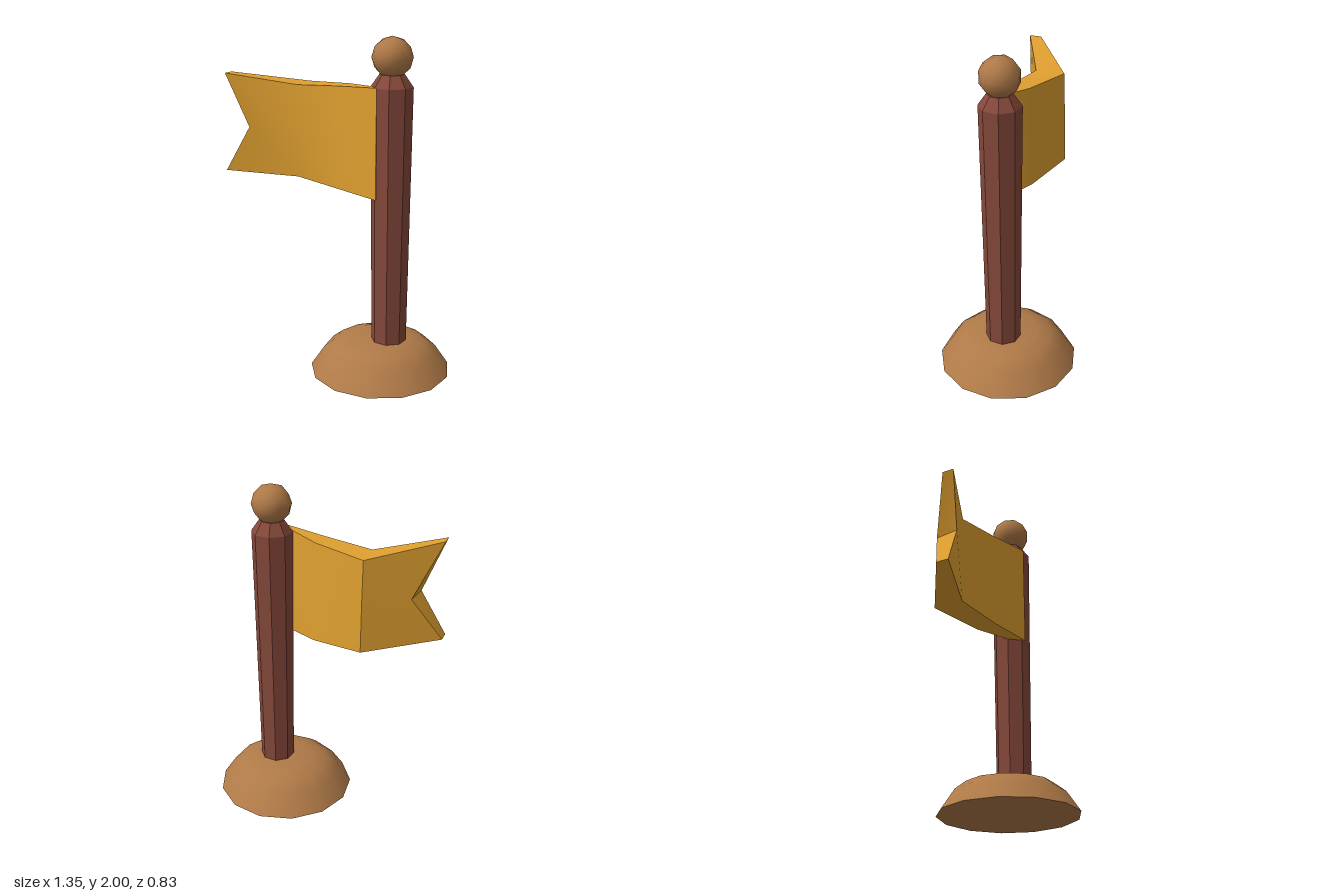
import * as THREE from 'three';
import { toCreasedNormals } from 'three/addons/utils/BufferGeometryUtils.js';

const mat = (name, color) => {
  const m = new THREE.MeshStandardMaterial({ color });
  m.name = name;
  return m;
};

// Faceted solid of revolution from [radius, height] pairs, bottom to top
function turned(profile, sides, start, crease) {
  const pts = profile.map(([r, y]) => new THREE.Vector2(r, y));
  return toCreasedNormals(new THREE.LatheGeometry(pts, sides, start), crease);
}

// Thick bent flag: each station is a ring of six points around the cloth
function flagGeometry() {
  // front x, front z, back x, back z, top y, bottom y
  const stations = [
    [0.29, 0.12, 0.27, 0.07, 1.725, 1.085],
    [0.02, 0.09, 0.02, -0.04, 1.71, 1.105],
    [-0.285, 0.075, -0.31, -0.105, 1.69, 1.135],
  ];
  const rings = stations.map(([fx, fz, bx, bz, t, b]) => {
    const m = (t + b) / 2;
    return [
      [fx, t, fz], [fx, m, fz], [fx, b, fz],
      [bx, b, bz - 0.005], [bx, m, bz], [bx, t, bz + 0.01],
    ];
  });
  // Swallowtail end with the middle row pulled in to form the notch
  rings.push([
    [-0.65, 1.755, 0.29], [-0.53, 1.435, 0.225], [-0.67, 1.165, 0.28],
    [-0.68, 1.165, 0.205], [-0.53, 1.435, 0.08], [-0.66, 1.755, 0.22],
  ]);

  const index = [];
  const quad = (a, b, c, d) => index.push(a, b, c, a, c, d);
  for (let i = 0; i < rings.length - 1; i++) {
    for (let j = 0; j < 6; j++) {
      const k = (j + 1) % 6, A = i * 6, B = A + 6;
      quad(B + j, B + k, A + k, A + j);
    }
  }
  const e = (rings.length - 1) * 6;
  quad(e, e + 5, e + 4, e + 1);
  quad(e + 1, e + 4, e + 3, e + 2);
  quad(0, 1, 4, 5);
  quad(1, 2, 3, 4);

  const geo = new THREE.BufferGeometry();
  geo.setAttribute('position', new THREE.Float32BufferAttribute(rings.flat(2), 3));
  geo.setIndex(index);
  return toCreasedNormals(geo, 0.85);
}

export function createModel() {
  const group = new THREE.Group();
  const lightWood = mat('light wood', 0xb07a48);
  const darkWood = mat('dark red wood', 0x85483a);
  const cloth = mat('golden cloth', 0xe0a030);

  const add = (name, geo, material, x = 0, y = 0) => {
    const mesh = new THREE.Mesh(geo, material);
    mesh.name = name;
    mesh.position.set(x, y, 0);
    group.add(mesh);
  };

  // Domed base
  add('base', turned(
    [[0, 0], [0.42, 0], [0.34, 0.12], [0.27, 0.175], [0.185, 0.2], [0, 0.2]],
    13, -Math.PI / 2, 0.75), lightWood, 0.26);

  // Octagonal pole, widening upwards to a chamfered top
  add('pole', turned(
    [[0, 0.1], [0.103, 0.1], [0.121, 1.72], [0.072, 1.79], [0, 1.79]],
    8, Math.PI / 8, 0.5), darkWood, 0.318);

  // Ball on top
  add('finial', new THREE.IcosahedronGeometry(0.117, 1), lightWood, 0.318, 1.884);

  add('flag', flagGeometry(), cloth);
  return group;
}
